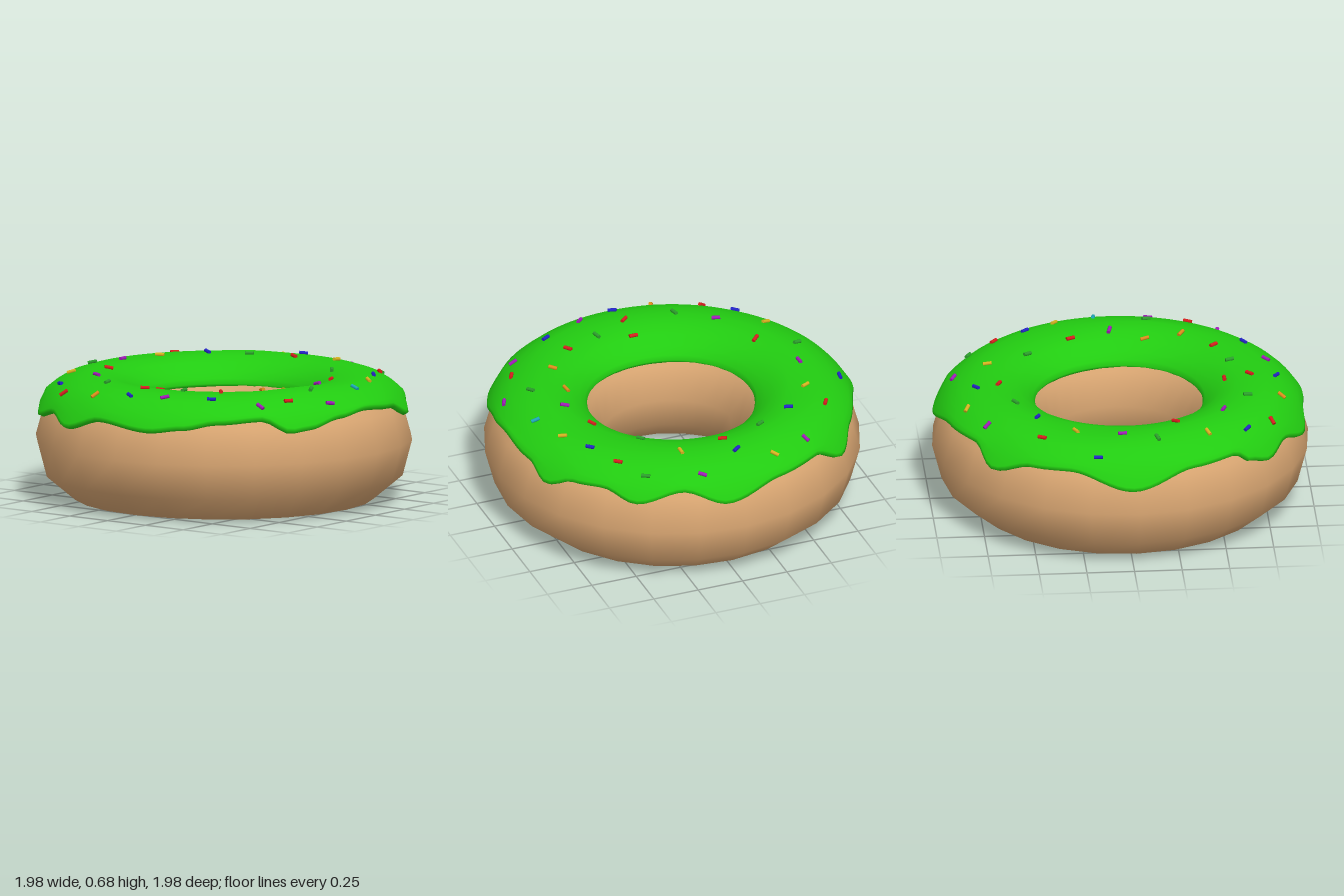
import * as THREE from 'three';

const material = (color) => new THREE.MeshStandardMaterial({ color, roughness: 0.7 });

// Sweeps a profile round the y axis; profileAt(angle) gives [radius, y] pairs, outside first, then over the top
function sweep(profileAt, segments, closed, offset = 0) {
  const positions = [], index = [];
  let n = 0;
  for (let i = 0; i < segments; i++) {
    const a = offset + (i / segments) * Math.PI * 2;
    const profile = profileAt(a);
    n = profile.length;
    for (const [r, y] of profile) positions.push(r * Math.cos(a), y, r * Math.sin(a));
  }
  for (let i = 0; i < segments; i++) {
    const k = (i + 1) % segments;
    for (let j = 0; j < (closed ? n : n - 1); j++) {
      const m = (j + 1) % n;
      index.push(i * n + j, i * n + m, k * n + j, k * n + j, i * n + m, k * n + m);
    }
  }
  const geometry = new THREE.BufferGeometry();
  geometry.setAttribute('position', new THREE.Float32BufferAttribute(positions, 3));
  geometry.setIndex(index);
  geometry.computeVertexNormals();
  return geometry;
}

// Ring of dough: squashed round section with a flattened base
const doughProfile = [
  [0.79, 0.005], [0.94, 0.13], [0.99, 0.32], [0.94, 0.5], [0.83, 0.6], [0.68, 0.635],
  [0.54, 0.6], [0.425, 0.5], [0.38, 0.32], [0.42, 0.15], [0.54, 0.025], [0.66, 0],
];

// Height of the dripping icing edge: [degrees from +x towards +z, y]
const drips = [
  [0, 0.55], [12, 0.53], [25, 0.49], [31, 0.48], [40, 0.545], [55, 0.53], [66, 0.5], [77, 0.48],
  [96, 0.51], [109, 0.45], [121, 0.5], [132, 0.46], [139, 0.49], [144, 0.54], [160, 0.53],
  [180, 0.45], [200, 0.53], [214, 0.52], [227, 0.46], [238, 0.54], [255, 0.53], [274, 0.47],
  [288, 0.54], [303, 0.48], [314, 0.53], [325, 0.52], [334, 0.47], [344, 0.53], [360, 0.55],
];

function dripHeight(a) {
  const deg = ((THREE.MathUtils.radToDeg(a) % 360) + 360) % 360;
  const k = Math.max(1, drips.findIndex(([d]) => d >= deg));
  const [d0, y0] = drips[k - 1], [d1, y1] = drips[k];
  return THREE.MathUtils.lerp(y0, y1, THREE.MathUtils.smoothstep(deg, d0, d1));
}

// Icing section at an angle: lip, outer slope, crown, inner slope
function icingProfile(a) {
  const y = dripHeight(a);
  const R = 0.935 + (0.55 - y) * 0.6;
  const crown = 0.662 + 0.008 * Math.sin(3 * a + 0.6) + 0.004 * Math.sin(5 * a);
  const inner = 0.445 + 0.006 * Math.sin(3 * a);
  return [
    [R - 0.07, y + 0.02], [R - 0.02, y - 0.005], [R, y + 0.005], [R - 0.004, y + 0.025],
    [THREE.MathUtils.lerp(R, 0.9, 0.5), THREE.MathUtils.lerp(y, 0.6, 0.62)],
    [0.895, 0.597], [0.84, 0.632], [0.77, 0.654], [0.69, crown], [0.61, 0.654],
    [0.54, 0.63], [0.485, 0.592], [inner + 0.005, 0.555], [inner - 0.006, 0.53],
    [inner, 0.515], [inner + 0.03, 0.515],
  ];
}

// Height of the icing surface above a radius
function icingHeight(a, r) {
  const top = icingProfile(a).slice(3, 14);
  for (let i = 0; i < top.length - 1; i++) {
    const [r0, y0] = top[i], [r1, y1] = top[i + 1];
    if (r <= r0 && r >= r1) return THREE.MathUtils.lerp(y0, y1, (r0 - r) / (r0 - r1));
  }
  return r > 0.8 ? top[0][1] : 0.55;
}

// Sprinkles by colour: [x, z, degrees turned]
const sprinkles = {
  red: [0xd81e1e, [[-0.03, -0.64, 25], [-0.68, -0.46, -60], [-0.57, 0.25, -40], [0, 0.68, -40],
    [0, 0.55, 0], [0.38, 0.52, 50], [0.54, -0.22, 65], [0.55, -0.62, 40], [0.74, 0.41, -60], [-0.47, 0.76, -40]]],
  purple: [0xa01cb8, [[-0.46, -0.73, 55], [0.17, -0.86, 40], [-0.7, -0.04, 88], [0.61, -0.01, 15],
    [-0.45, 0.51, 20], [0.21, 0.78, -50], [0.67, 0.56, 10], [0.86, 0.21, -60]]],
  blue: [0x2424c8, [[-0.06, -0.76, -35], [-0.47, -0.47, 25], [-0.87, -0.18, -85], [0.64, -0.45, 45],
    [-0.6, 0.62, 30], [0.01, 0.82, 30], [0.44, 0.68, -30]]],
  yellow: [0xd8b420, [[-0.25, -0.82, 40], [0.22, -0.68, 88], [-0.64, -0.28, -25], [0.73, -0.29, 30],
    [-0.69, 0.41, -25]]],
  orange: [0xdc8c1c, [[0.53, 0.17, 75], [0.53, 0.36, 35], [-0.21, 0.83, -65]]],
  green: [0x2ca02c, [[-0.27, -0.57, -30], [0.36, -0.46, 55], [-0.76, 0.14, -20], [-0.27, 0.65, 80],
    [0.19, 0.59, 75], [0.72, 0.19, 60], [0.45, -0.76, 30]]],
  cyan: [0x1ca8b8, [[0.8, -0.08, 5]]],
};

export function createModel() {
  const model = new THREE.Group();
  model.name = 'frostedRing';

  const add = (name, geometry, mat) => {
    const mesh = new THREE.Mesh(geometry, mat);
    mesh.name = name;
    model.add(mesh);
  };
  add('dough', sweep(() => doughProfile, 24, true, THREE.MathUtils.degToRad(-2)), material(0xd9a672));

  const icing = material(0x22cc11);
  icing.side = THREE.DoubleSide;
  add('icing', sweep(icingProfile, 144, false), icing);

  // Sprinkles lie flat on the icing, following its slope
  const rod = new THREE.CylinderGeometry(0.01, 0.01, 0.046, 8);
  for (const [name, [color, places]] of Object.entries(sprinkles)) {
    const group = new THREE.Group();
    group.name = name + 'Sprinkles';
    const mat = material(color);
    for (const [x, z, turn] of places) {
      const a = Math.atan2(z, x), r = Math.hypot(x, z), e = 0.015;
      const slope = (icingHeight(a, r + e) - icingHeight(a, r - e)) / (2 * e);
      const normal = new THREE.Vector3(-slope * Math.cos(a), 1, -slope * Math.sin(a)).normalize();
      const t = THREE.MathUtils.degToRad(turn);
      const along = new THREE.Vector3(Math.cos(t), 0, Math.sin(t)).projectOnPlane(normal).normalize();
      const mesh = new THREE.Mesh(rod, mat);
      mesh.name = 'sprinkle';
      mesh.quaternion.setFromUnitVectors(new THREE.Vector3(0, 1, 0), along);
      mesh.position.set(x, icingHeight(a, r), z).addScaledVector(normal, 0.006);
      group.add(mesh);
    }
    model.add(group);
  }
  return model;
}
